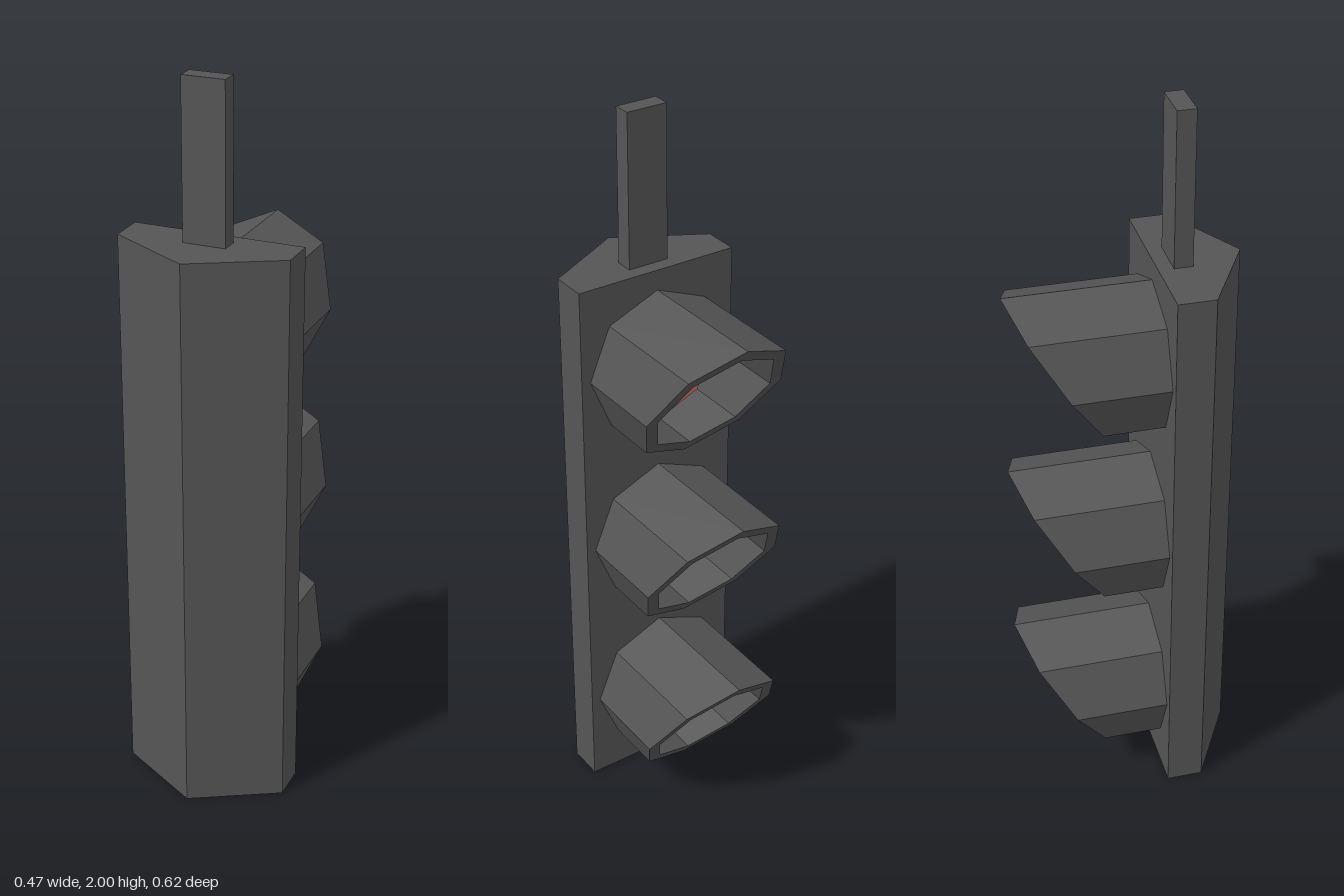
import * as THREE from 'three';

const HOUSING_BACK = 0.08; // z of the flat face carrying the lamps
const HOOD_RADIUS = 0.207;
const LENS_RADIUS = 0.172;

const flat = (color) => new THREE.MeshStandardMaterial({ color, flatShading: true });

function octagon(radius) {
  return Array.from({ length: 8 }, (_, i) => {
    const a = (i * Math.PI) / 4;
    return new THREE.Vector2(radius * Math.cos(a), radius * Math.sin(a));
  });
}

// Octagonal tube whose open end is cut along a slanted plane
function hoodGeometry() {
  const ring = new THREE.Shape(octagon(HOOD_RADIUS));
  ring.holes.push(new THREE.Path(octagon(LENS_RADIUS).reverse()));
  const geo = new THREE.ExtrudeGeometry(ring, { depth: 1, bevelEnabled: false });
  const pos = geo.attributes.position;
  for (let i = 0; i < pos.count; i++) {
    const slant = -0.178 - 0.64 * pos.getY(i);
    pos.setZ(i, pos.getZ(i) > 0.5 ? HOUSING_BACK : slant);
  }
  geo.computeVertexNormals();
  return geo;
}

// Shallow faceted dome bulging towards -z
function lensGeometry() {
  const geo = new THREE.SphereGeometry(LENS_RADIUS, 8, 3, 0, Math.PI * 2, 0, Math.PI / 2);
  geo.scale(1, 0.35, 1);
  geo.rotateX(-Math.PI / 2);
  return geo;
}

export function createModel() {
  const model = new THREE.Group();
  model.name = 'trafficLight';
  const dark = flat(0x555555);

  const add = (parent, name, geometry, material, x = 0, y = 0, z = 0) => {
    const mesh = new THREE.Mesh(geometry, material);
    mesh.name = name;
    mesh.position.set(x, y, z);
    parent.add(mesh);
  };

  // Five-sided housing, pointed towards +z
  const outline = new THREE.Shape(
    [[-0.233, -0.18], [0, -0.31], [0.233, -0.18], [0.233, -0.08], [-0.233, -0.08]]
      .map(([x, y]) => new THREE.Vector2(x, y))
  );
  const housing = new THREE.ExtrudeGeometry(outline, { depth: 1.58, bevelEnabled: false });
  housing.rotateX(-Math.PI / 2);
  add(model, 'housing', housing, dark);

  // Hanging bar
  add(model, 'hangingBar', new THREE.BoxGeometry(0.116, 0.42, 0.05), dark, 0, 1.79, 0.145);

  // Three hooded lamps
  const hood = hoodGeometry();
  const lens = lensGeometry();
  [['red', 0xd9776b, 1.317], ['yellow', 0xd9a60c, 0.792], ['green', 0x88bd8a, 0.266]]
    .forEach(([name, color, y]) => {
      const lamp = new THREE.Group();
      lamp.name = `${name}Lamp`;
      lamp.position.y = y;
      add(lamp, 'hood', hood, dark);
      add(lamp, 'lens', lens, flat(color), 0, 0, HOUSING_BACK);
      model.add(lamp);
    });

  return model;
}
